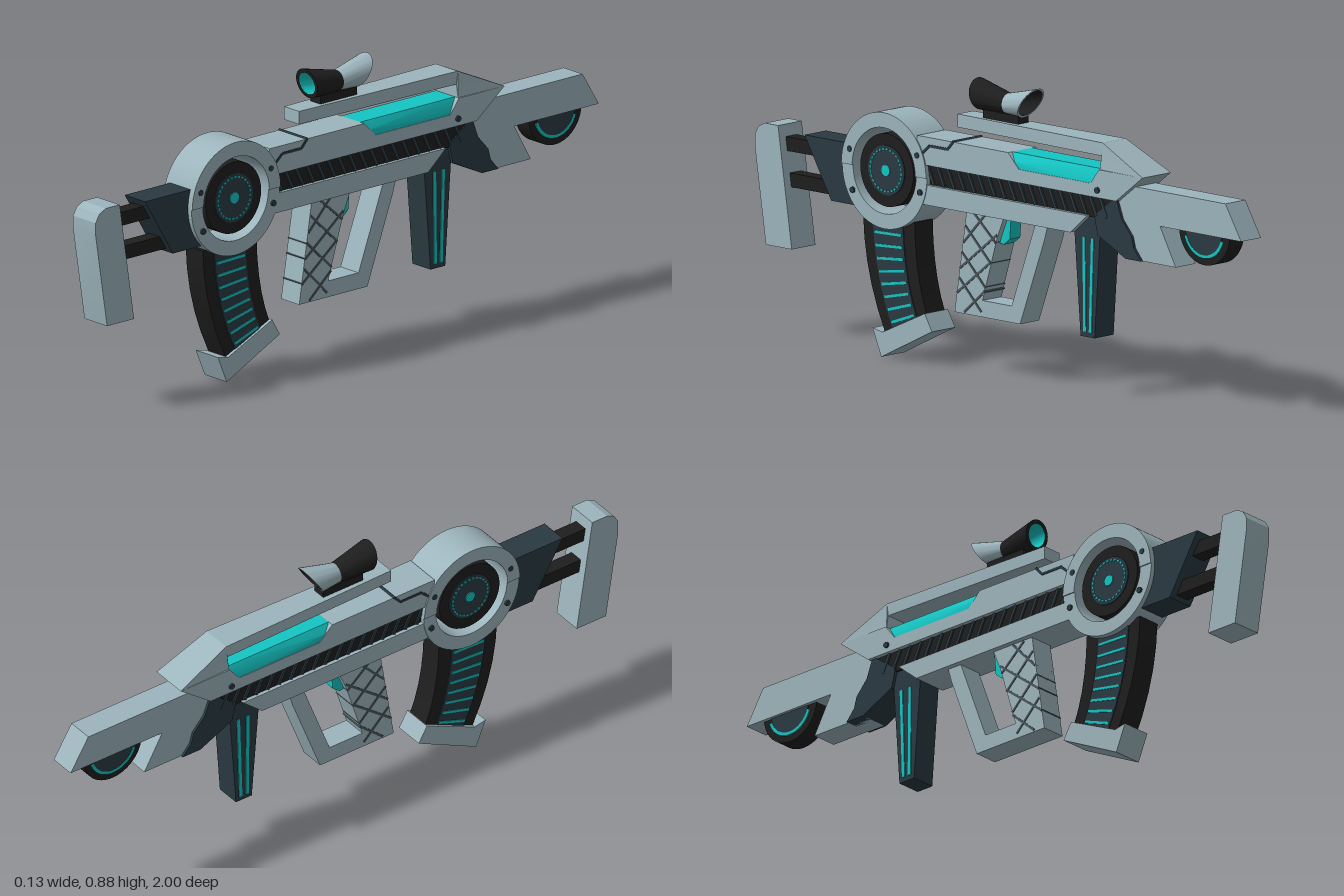
import * as THREE from 'three';
import { toCreasedNormals } from 'three/addons/utils/BufferGeometryUtils.js';

const flat = (name, color) => {
  const m = new THREE.MeshStandardMaterial({ color });
  m.name = name;
  return m;
};

export function createModel() {
  const root = new THREE.Group();
  root.name = 'rifle';
  const grey = flat('paleGrey', 0x9db5bd);
  const black = flat('black', 0x1e1e1e);
  const slate = flat('slate', 0x2a3a42);
  const line = flat('lineGrey', 0x4a585e);
  const cyan = flat('cyan', 0x14c6c4);

  const add = (name, geo, mat, parent = root) => {
    const mesh = new THREE.Mesh(geo, mat);
    mesh.name = name;
    parent.add(mesh);
    return mesh;
  };
  const group = (name) => {
    const g = new THREE.Group();
    g.name = name;
    root.add(g);
    return g;
  };
  // move every vertex by a rule
  const warp = (geo, rule) => {
    const p = geo.attributes.position;
    const v = new THREE.Vector3();
    for (let i = 0; i < p.count; i++) {
      rule(v.fromBufferAttribute(p, i));
      p.setXYZ(i, v.x, v.y, v.z);
    }
    return geo;
  };
  // side outline in (z, y), extruded across x to +-half
  const prism = (name, outline, half, mat, parent = root, rule = null) => {
    const shape = Array.isArray(outline)
      ? new THREE.Shape(outline.map(([z, y]) => new THREE.Vector2(z, y))) : outline;
    const geo = new THREE.ExtrudeGeometry(shape, { depth: 2 * half, bevelEnabled: false, curveSegments: 24 });
    geo.translate(0, 0, -half).rotateY(-Math.PI / 2);
    if (rule) warp(geo, rule);
    return add(name, toCreasedNormals(geo, 0.4), mat, parent);
  };
  // straight bar between two (z, y) points, reaching through to both sides
  const bar = (name, [z0, y0], [z1, y1], width, half, mat, parent = root) => {
    const geo = new THREE.BoxGeometry(2 * half, width, Math.hypot(z1 - z0, y1 - y0));
    const mesh = add(name, geo, mat, parent);
    mesh.position.set(0, (y0 + y1) / 2, (z0 + z1) / 2);
    mesh.rotation.x = -Math.atan2(y1 - y0, z1 - z0);
    return mesh;
  };
  const disc = (name, z, y, r, half, mat, parent = root) => {
    const geo = new THREE.CylinderGeometry(r, r, 2 * half, 40).rotateZ(Math.PI / 2);
    add(name, geo, mat, parent).position.set(0, y, z);
  };
  const arcBand = (z, y, r0, r1, a0, a1) => {
    const s = new THREE.Shape();
    s.absarc(z, y, r1, a0, a1, false);
    s.absarc(z, y, r0, a1, a0, true);
    return s;
  };

  // shoulder stock, rods and rear block
  prism('stock', [[1, 0.56], [1, 0.6], [0.985, 0.625], [0.96, 0.637], [0.905, 0.637],
    [0.848, 0.272], [0.955, 0.272]], 0.05, grey);
  for (const y of [0.58, 0.473]) bar('stockRod', [0.92, y], [0.66, y], 0.042, 0.023, black);
  prism('rearBlock', [[0.8, 0.623], [0.6, 0.623], [0.6, 0.5], [0.57, 0.44], [0.69, 0.44]], 0.045, slate);

  // open ring with a floating disc
  const RZ = 0.455, RY = 0.565;
  prism('upperRing', arcBand(RZ, RY, 0.13, 0.175, 0, Math.PI), 0.064, grey);
  prism('lowerRing', arcBand(RZ, RY, 0.13, 0.175, Math.PI, 2 * Math.PI), 0.06, grey);
  const hub = group('ringHub');
  disc('hubRim', RZ, RY, 0.11, 0.05, black, hub);
  disc('hubFace', RZ, RY, 0.075, 0.053, slate, hub);
  disc('hubLight', RZ, RY, 0.017, 0.056, cyan, hub);
  for (let i = 0; i < 28; i++) {
    const at = (a) => [RZ + 0.064 * Math.cos(a), RY + 0.064 * Math.sin(a)];
    const a = (i / 28) * Math.PI * 2;
    bar('hubDash', at(a), at(a + 0.12), 0.005, 0.055, cyan, hub);
  }

  // receiver
  prism('upperBody', [[0.32, 0.69], [-0.055, 0.69], [-0.1, 0.645], [-0.395, 0.645], [-0.43, 0.69],
    [-0.61, 0.69], [-0.5, 0.605], [0.32, 0.605]], 0.06, grey);
  prism('sideWindow', [[-0.055, 0.69], [-0.08, 0.665], [-0.1, 0.645], [-0.395, 0.645],
    [-0.411, 0.665], [-0.43, 0.69]], 0.058, cyan, root, (v) => { if (v.y > 0.68) v.x *= 0.72; });
  prism('lowerBody', [[0.32, 0.545], [-0.38, 0.545], [-0.31, 0.485], [0.32, 0.485]], 0.058, grey);
  prism('vent', [[0.318, 0.61], [-0.49, 0.61], [-0.44, 0.54], [0.318, 0.54]], 0.046, black);
  const ribs = group('ventRibs');
  for (let i = 0; i < 18; i++) {
    const z = 0.29 - i * 0.042;
    bar('ventRib', [z, 0.605], [z - 0.028, 0.547], 0.01, 0.051, slate, ribs);
  }
  // seam lines and bolts
  const seam = [[0.315, 0.625], [0.27, 0.665], [0.195, 0.665], [0.17, 0.692]];
  for (let i = 0; i < 3; i++) bar('seam', seam[i], seam[i + 1], 0.008, 0.062, slate);
  for (const [z, y] of [[0.596, 0.612], [0.585, 0.49], [0.318, 0.63], [0.307, 0.52], [-0.425, 0.628]])
    disc('bolt', z, y, 0.009, 0.066, slate);

  // top rail, flaring toward the muzzle
  prism('topRail', [[0.18, 0.77], [-0.435, 0.77], [-0.61, 0.69], [-0.43, 0.69], [-0.43, 0.73], [0.18, 0.73]],
    0.033, grey, root, (v) => {
      const w = THREE.MathUtils.mapLinear(v.z, 0.18, -0.61, 0.033, 0.053);
      v.x = Math.sign(v.x) * (w + (v.y < 0.7 ? 0.007 : 0));
    });

  // barrel housing
  prism('barrel', [[-0.47, 0.655], [-0.935, 0.655], [-1, 0.55], [-0.665, 0.55], [-0.73, 0.435],
    [-0.53, 0.435], [-0.47, 0.48]], 0.042, grey);
  prism('barrelCollar', [[-0.4, 0.55], [-0.49, 0.615], [-0.515, 0.55], [-0.555, 0.505], [-0.565, 0.47],
    [-0.595, 0.435], [-0.53, 0.435], [-0.415, 0.49]], 0.05, slate);
  const wheel = group('barrelWheel');
  const half = (r0, r1) => arcBand(-0.837, 0.56, r0, r1, Math.PI, 2 * Math.PI);
  prism('wheelRim', half(0.005, 0.105), 0.03, black, wheel);
  prism('wheelFace', half(0.005, 0.074), 0.033, slate, wheel);
  prism('wheelLight', arcBand(-0.837, 0.56, 0.074, 0.084, Math.PI * 1.1, Math.PI * 1.9), 0.034, cyan, wheel);

  // foregrip
  prism('foregrip', [[-0.31, 0.485], [-0.375, 0.545], [-0.42, 0.545], [-0.415, 0.485],
    [-0.393, 0.175], [-0.335, 0.175]], 0.04, slate);
  for (const [a, b] of [[-0.35, -0.353], [-0.385, -0.376]])
    bar('foregripLight', [a, 0.475], [b, 0.19], 0.011, 0.042, cyan);

  // pistol grip with its guard
  prism('gripFrame', [[0.135, 0.49], [0.185, 0.175], [-0.085, 0.175], [-0.185, 0.44], [-0.2, 0.49],
    [-0.15, 0.49], [-0.05, 0.225], [0.07, 0.225], [0.01, 0.42], [-0.02, 0.49]], 0.04, grey);
  const hatch = group('gripHatch');
  for (const [a, b] of [
    [[0.14, 0.44], [0.035, 0.34]], [[0.155, 0.36], [0.058, 0.265]], [[0.165, 0.28], [0.075, 0.19]],
    [[0.105, 0.483], [0.015, 0.405]], [[0.148, 0.39], [0.06, 0.483]], [[0.163, 0.31], [0.01, 0.43]],
    [[0.175, 0.235], [0.035, 0.345]], [[0.145, 0.18], [0.06, 0.255]]])
    bar('hatchLine', a, b, 0.007, 0.042, line, hatch);
  prism('trigger', [[0.01, 0.485], [-0.03, 0.485], [-0.025, 0.42], [0, 0.4], [0.025, 0.405]], 0.022, cyan);

  // curved magazine
  const V = (z, y) => new THREE.Vector2(z, y);
  const rear = new THREE.QuadraticBezierCurve(V(0.565, 0.42), V(0.56, 0.24), V(0.475, 0.075));
  const fore = new THREE.QuadraticBezierCurve(V(0.352, 0.42), V(0.35, 0.26), V(0.3, 0.145));
  const magPoint = (t, u) => rear.getPoint(t).lerp(fore.getPoint(t), u).toArray();
  const magBand = (u0, u1) => {
    const ts = [0, 0.2, 0.4, 0.6, 0.8, 1];
    return [...ts.map((t) => magPoint(t, u0)), ...ts.reverse().map((t) => magPoint(t, u1))];
  };
  const mag = group('magazine');
  prism('magazineBody', magBand(0, 1), 0.038, black, mag);
  prism('magazinePanel', magBand(0.2, 0.78), 0.041, slate, mag);
  for (let i = 0; i < 8; i++) {
    const t = 0.14 + i * 0.115;
    bar('magazineLight', magPoint(t, 0.23), magPoint(t, 0.75), 0.008, 0.043, cyan, mag);
  }
  prism('magazineBase', [[0.515, 0.083], [0.475, 0.075], [0.3, 0.155], [0.27, 0.104], [0.48, 0]], 0.049, grey, mag);

  // sight: two flared tubes meeting at a waist
  const sight = group('sight');
  bar('sightMount', [0.085, 0.778], [-0.06, 0.778], 0.034, 0.022, black, sight);
  const tube = (name, pts, dir, mat) => {
    const geo = new THREE.LatheGeometry(pts.map(([r, l]) => V(r, l)), 28).rotateX(dir * Math.PI / 2);
    warp(geo, (v) => {
      const lift = 0.822 + 0.11 * Math.abs(v.z);
      v.z *= dir > 0 ? 0.95 + v.y * 1.5 : 0.75 + v.y * 5.3;
      v.y += lift;
    });
    add(name, toCreasedNormals(geo, 0.6), mat, sight);
  };
  tube('eyepiece', [[0.031, 0], [0.047, 0.125], [0.035, 0.125]], 1, black);
  tube('eyepieceLining', [[0.035, 0.125], [0.031, 0.03]], 1, cyan);
  tube('eyepieceLens', [[0.031, 0.03], [0.0001, 0.03]], 1, grey);
  tube('hood', [[0.031, 0], [0.047, 0.12], [0.041, 0.12]], -1, grey);
  tube('hoodLining', [[0.041, 0.12], [0.03, 0.03], [0.0001, 0.03]], -1, black);

  return root;
}
